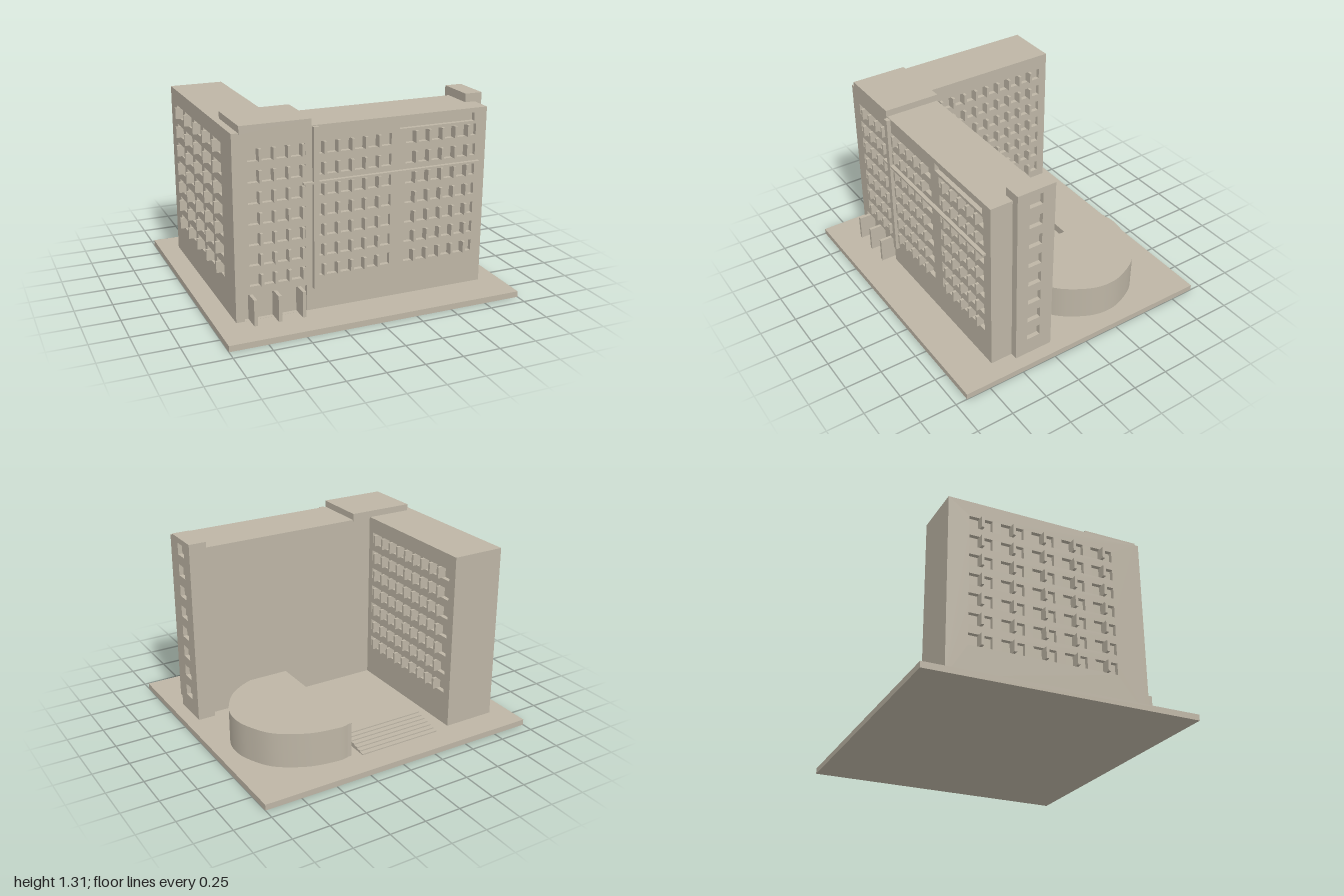
import * as THREE from 'three';
import { toCreasedNormals } from 'three/addons/utils/BufferGeometryUtils.js';

const stone = new THREE.MeshStandardMaterial({ color: 0xbdb5a5 });
stone.name = 'stone';

const D = 0.03; // depth of window recesses
const GROUND = 0.04, ROOF = 1.25;
const ROWS = Array.from({ length: 7 }, (_, i) => 0.268 + i * 0.1335);
const ROW_H = 0.077;

// Box given by its limits on each axis
function block(parent, name, x0, x1, y0, y1, z0, z1) {
  const mesh = new THREE.Mesh(new THREE.BoxGeometry(x1 - x0, y1 - y0, z1 - z0), stone);
  mesh.position.set((x0 + x1) / 2, (y0 + y1) / 2, (z0 + z1) / 2);
  mesh.name = name;
  parent.add(mesh);
  return mesh;
}

// Wall skin with rectangular openings [u0, u1, v0, v1]; outer face on local z = 0
function facade(parent, name, u0, u1, v0, v1, openings) {
  const rect = (target, a, b, c, d) =>
    target.moveTo(a, c).lineTo(b, c).lineTo(b, d).lineTo(a, d).closePath();
  const shape = rect(new THREE.Shape(), u0, u1, v0, v1);
  for (const o of openings) shape.holes.push(rect(new THREE.Path(), ...o));
  const geo = new THREE.ExtrudeGeometry(shape, { depth: D, bevelEnabled: false });
  geo.translate(0, 0, -D);
  const wall = new THREE.Mesh(geo, stone);
  wall.name = name + 'Wall';
  const group = new THREE.Group();
  group.name = name;
  group.add(wall);
  parent.add(group);
  return group;
}

// Upright sun fins, repeated on every storey
function fins(group, positions, reach) {
  for (const y of ROWS)
    for (const u of positions)
      block(group, 'windowFin', u - 0.009, u + 0.009, y, y + ROW_H, -D - 0.002, reach);
}

const storeys = (spans) => ROWS.flatMap((y) => spans.map(([a, b]) => [a, b, y, y + ROW_H]));
const series = (start, step, n) => Array.from({ length: n }, (_, i) => start + i * step);

export function createModel() {
  const model = new THREE.Group();
  model.name = 'officeBuilding';

  block(model, 'basePlate', -1, 1, 0, GROUND, -0.92, 0.92);

  // Main blocks behind the wall skins
  block(model, 'frontBlock', -0.865 + D, 0.86, GROUND, ROOF, 0.275, 0.648 - D);
  block(model, 'sideWing', -0.865 + D, -0.5 - D, GROUND, ROOF, -0.72, 0.275);
  block(model, 'roofBlock', -0.82, -0.36, ROOF - 0.01, 1.295, 0.27, 0.655);

  // Front facade: three window bands, entrance and sign recess
  const front = facade(model, 'frontFacade', -0.865, 0.86, GROUND, ROOF, [
    ...storeys([[-0.77, -0.4], [-0.318, 0.18], [0.28, 0.785]]),
    [-0.81, -0.395, GROUND + 0.001, 0.215],
    [0.235, 0.77, 1.165, 1.22],
  ]);
  front.position.z = 0.648;
  fins(front, [
    ...series(-0.695, 0.092, 4),
    ...series(-0.275, 0.092, 5),
    ...series(0.35, 0.093, 5),
  ], 0.024);
  for (const x of [-0.765, -0.605, -0.445])
    block(front, 'entranceFin', x - 0.011, x + 0.011, GROUND, 0.213, -D, 0.087);
  block(front, 'verticalFin', -0.355, -0.32, 0.19, 1.245, -0.01, 0.028);
  block(front, 'ledge', -0.42, 0.81, 0.885, 0.899, -0.01, 0.026);

  // Outer side of the wing: separate windows with a fin in each
  const columns = series(-0.5, 0.214, 5);
  const outer = facade(model, 'outerFacade', -0.72, 0.648 - D, GROUND, ROOF,
    storeys(columns.map((z) => [z - 0.078, z + 0.078])));
  outer.rotation.y = -Math.PI / 2;
  outer.position.x = -0.865;
  fins(outer, columns, 0.034);

  // Courtyard side of the wing: one long window band per storey
  const court = facade(model, 'courtyardFacade', -0.275, 0.72, GROUND, ROOF,
    storeys([[-0.23, 0.66]]));
  court.rotation.y = Math.PI / 2;
  court.position.x = -0.5;
  fins(court, series(-0.168, 0.0925, 9), 0.03);

  // Stair tower
  block(model, 'stairTower', 0.79, 0.91 - D, GROUND, 1.307, 0.225, 0.495);
  const tower = facade(model, 'towerFacade', -0.495, -0.225, GROUND, 1.307,
    series(0.16, 0.147, 8).map((y) => [-0.41, -0.315, y, y + 0.08]));
  tower.rotation.y = Math.PI / 2;
  tower.position.x = 0.91;

  // Rounded hall
  const rim = [[0.37, -0.723], [0.565, -0.685], [0.755, -0.57], [0.85, -0.41], [0.877, -0.275],
    [0.85, -0.14], [0.755, 0.015], [0.645, 0.105], [0.545, 0.155]];
  const curve = new THREE.SplineCurve(
    [[0.265 + D, -0.715], ...rim].map(([x, z]) => new THREE.Vector2(x, -z)));
  const plan = new THREE.Shape([...curve.getPoints(64), new THREE.Vector2(0.265 + D, -0.155)]);
  const hallGeo = new THREE.ExtrudeGeometry(plan, { depth: 0.24, bevelEnabled: false });
  const hall = new THREE.Mesh(toCreasedNormals(hallGeo, 0.4), stone);
  hall.rotation.x = -Math.PI / 2;
  hall.position.y = GROUND;
  hall.name = 'roundedHall';
  model.add(hall);
  const hallFront = facade(model, 'hallFacade', -0.712, 0.155, GROUND, 0.28,
    series(-0.535, 0.147, 4).map((z) => [z, z + 0.1, 0.12, 0.195]));
  hallFront.rotation.y = -Math.PI / 2;
  hallFront.position.x = 0.265;

  // Low steps rising towards the courtyard
  const steps = new THREE.Group();
  steps.name = 'steps';
  model.add(steps);
  const tread = 0.24 / 7;
  for (let i = 0; i < 7; i++) {
    const z = -0.745 + i * tread;
    block(steps, 'step', -0.39, 0.2, GROUND, GROUND + 0.008 * (i + 1), z, z + tread);
  }

  return model;
}
